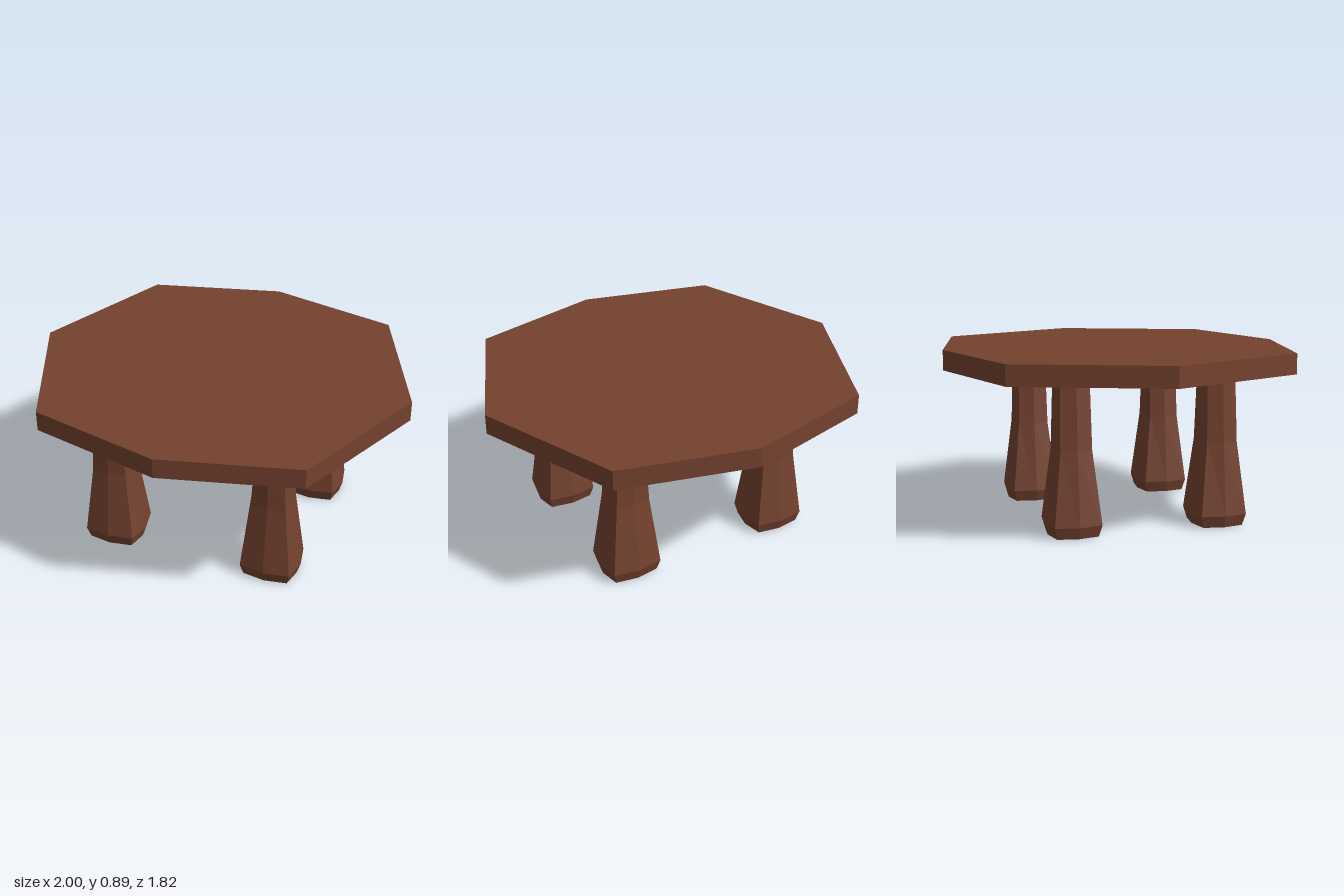
import * as THREE from 'three';

const wood = new THREE.MeshStandardMaterial({ color: 0x75422f, flatShading: true });

// Eight-sided ring: axis radii rx, rz and corner offsets cx, cz
function octagon({ y, rx, rz, cx, cz }) {
  return [
    [rx, y, 0], [cx, y, cz], [0, y, rz], [-cx, y, cz],
    [-rx, y, 0], [-cx, y, -cz], [0, y, -rz], [cx, y, -cz],
  ];
}

// Skins a stack of rings (bottom to top) and caps both ends
function loft(sections) {
  const rings = sections.map(octagon);
  const pos = [];
  const tri = (a, b, c) => pos.push(...a, ...b, ...c);
  for (let k = 0; k < rings.length - 1; k++) {
    for (let i = 0; i < 8; i++) {
      const j = (i + 1) % 8;
      const [a, b, c, d] = [rings[k][i], rings[k][j], rings[k + 1][j], rings[k + 1][i]];
      tri(a, c, b);
      tri(a, d, c);
    }
  }
  const bottom = rings[0], top = rings[rings.length - 1];
  for (let i = 1; i < 7; i++) {
    tri(bottom[0], bottom[i], bottom[i + 1]);
    tri(top[0], top[i + 1], top[i]);
  }
  const geo = new THREE.BufferGeometry();
  geo.setAttribute('position', new THREE.Float32BufferAttribute(pos, 3));
  geo.computeVertexNormals();
  return geo;
}

export function createModel() {
  const table = new THREE.Group();
  table.name = 'table';

  // Octagonal slab
  const slab = { rx: 1, rz: 0.91, cx: 0.69, cz: 0.74 };
  const top = new THREE.Mesh(loft([{ y: 0.785, ...slab }, { y: 0.89, ...slab }]), wood);
  top.name = 'tableTop';
  table.add(top);

  // Chunky legs: bevelled foot, flared lower half, slimmer upper half
  const legGeo = loft([
    { y: 0, rx: 0.139, rz: 0.125, cx: 0.118, cz: 0.106 },
    { y: 0.06, rx: 0.157, rz: 0.143, cx: 0.133, cz: 0.121 },
    { y: 0.43, rx: 0.116, rz: 0.097, cx: 0.092, cz: 0.081 },
    { y: 0.79, rx: 0.095, rz: 0.091, cx: 0.071, cz: 0.075 },
  ]);
  for (const [side, x] of [['Left', 0.43], ['Right', -0.44]]) {
    for (const [end, z] of [['front', 0.41], ['back', -0.357]]) {
      const leg = new THREE.Mesh(legGeo, wood);
      leg.name = `${end}${side}Leg`;
      leg.position.set(x, 0, z);
      table.add(leg);
    }
  }
  return table;
}
